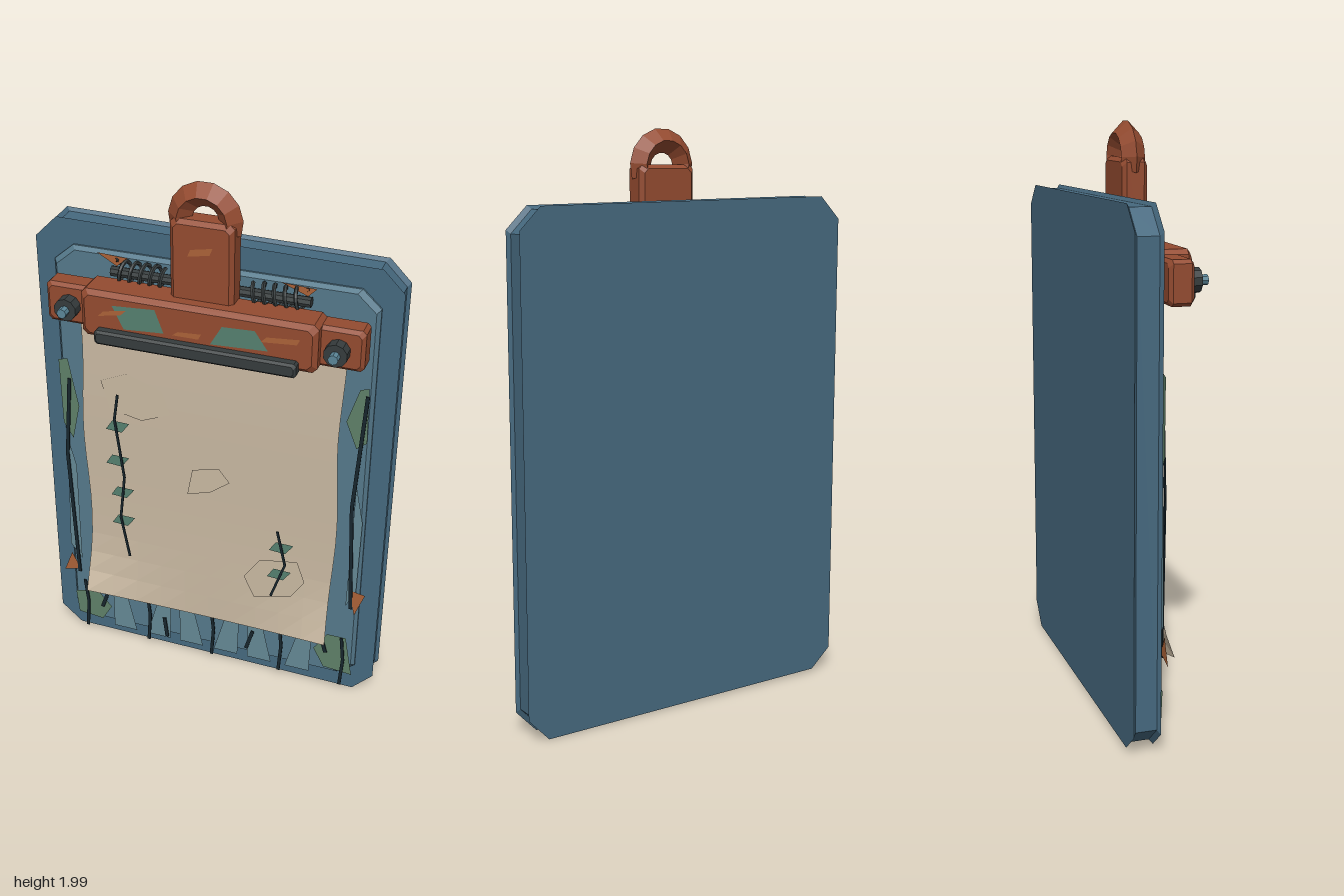
import * as THREE from 'three';

const COLOR = {
  board: 0x46697f, panel: 0x55798b, paper: 0xc9b9a2, rust: 0x944b30, orange: 0xab6238,
  dark: 0x363c3d, ink: 0x17252c, teal: 0x55806f, green: 0x5f8068, slate: 0x658894, pin: 0x5b8698,
};

function add(group, name, geometry, color, x = 0, y = 0, z = 0, doubleSide = false) {
  const material = new THREE.MeshStandardMaterial({
    color, flatShading: true, side: doubleSide ? THREE.DoubleSide : THREE.FrontSide,
  });
  const mesh = new THREE.Mesh(geometry, material);
  mesh.name = name;
  mesh.position.set(x, y, z);
  group.add(mesh);
  return mesh;
}

// Solid lofted from a counter-clockwise outline through [inset, z] rings, back to front
function loft(outline, cy, rings) {
  const n = outline.length, pos = [], idx = [];
  for (const [inset, z] of rings)
    for (const [x, y] of outline) pos.push(x - Math.sign(x) * inset, y - Math.sign(y - cy) * inset, z);
  for (let r = 0; r < rings.length - 1; r++)
    for (let i = 0; i < n; i++) {
      const a = r * n + i, b = r * n + (i + 1) % n;
      idx.push(a, b, b + n, a, b + n, a + n);
    }
  const last = (rings.length - 1) * n;
  for (let i = 1; i < n - 1; i++) idx.push(0, i + 1, i, last, last + i, last + i + 1);
  const g = new THREE.BufferGeometry();
  g.setAttribute('position', new THREE.Float32BufferAttribute(pos, 3));
  g.setIndex(idx);
  g.computeVertexNormals();
  return g;
}

// Box with chamfered edges, given by its extents
function chamferBox(group, name, color, [x0, x1], [y0, y1], [z0, z1], c) {
  const w = (x1 - x0) / 2, h = (y1 - y0) / 2;
  const outline = [[-w + c, -h], [w - c, -h], [w, -h + c], [w, h - c], [w - c, h], [-w + c, h], [-w, h - c], [-w, -h + c]];
  const g = loft(outline, 0, [[c, z0], [0, z0 + c], [0, z1 - c], [c, z1]]);
  return add(group, name, g, color, (x0 + x1) / 2, (y0 + y1) / 2, 0);
}

// Thin flat polygon facing the front
function flat(group, name, color, z, points) {
  const shape = new THREE.Shape(points.map(([x, y]) => new THREE.Vector2(x, y)));
  return add(group, name, new THREE.ShapeGeometry(shape), color, 0, 0, z, true);
}

// Thin stroke along a polyline
function stroke(group, name, z, points, width = 0.009) {
  for (let i = 0; i < points.length - 1; i++) {
    const [ax, ay] = points[i], [bx, by] = points[i + 1];
    const g = new THREE.BoxGeometry(width, Math.hypot(bx - ax, by - ay) + 0.004, 0.004);
    add(group, name, g, COLOR.ink, (ax + bx) / 2, (ay + by) / 2, z).rotation.z = Math.atan2(ax - bx, by - ay);
  }
}

function section(parent, name) {
  const g = new THREE.Group();
  g.name = name;
  parent.add(g);
  return g;
}

export function createModel() {
  const model = new THREE.Group();
  model.name = 'clipboard';

  // Backing board with flared rims and a raised front panel
  add(model, 'board', loft([[-0.56, 0.02], [0.56, 0.01], [0.635, 0.09], [0.635, 1.68], [0.56, 1.755],
    [-0.56, 1.77], [-0.64, 1.69], [-0.64, 0.09]], 0.89,
  [[0, -0.153], [0.012, -0.143], [0.012, -0.072], [0, -0.062]]), COLOR.board);
  add(model, 'panel', loft([[-0.5, 0.08], [0.5, 0.08], [0.565, 0.13], [0.565, 1.62], [0.5, 1.68],
    [-0.5, 1.68], [-0.57, 1.62], [-0.57, 0.14]], 0.88,
  [[0, -0.065], [0, -0.055], [0.012, -0.04]]), COLOR.panel);

  // Paper sheet with wavy sides and curled lower corners
  const sheet = new THREE.PlaneGeometry(0.94, 1.22, 10, 14);
  const p = sheet.attributes.position;
  for (let i = 0; i < p.count; i++) {
    const u = p.getX(i) / 0.47, y = p.getY(i) + 0.87;
    const curl = Math.max(0, (0.52 - y) / 0.26);
    const drop = Math.max(0, 1 - (y - 0.26) / 0.2);
    p.setXYZ(i, u * (0.47 + 0.007 * Math.sin(y * 9 + u)) - 0.002,
      y + drop * (0.015 * u * u - 0.022 * (1 - u * u)),
      -0.012 + 0.05 * curl * curl * u ** 2 + 0.002 * Math.sin(y * 7));
  }
  sheet.computeVertexNormals();
  add(model, 'paper', sheet, COLOR.paper, 0, 0, 0, true);

  // Stains on the paper
  const marks = section(model, 'paperMarks');
  flat(marks, 'stain', COLOR.paper, -0.006, [[-0.4, 1.2], [-0.3, 1.245], [-0.17, 1.2], [-0.14, 1.11], [-0.25, 1.065], [-0.37, 1.09]]);
  flat(marks, 'stain', COLOR.paper, -0.006, [[-0.06, 0.9], [0.04, 0.925], [0.08, 0.875], [0.01, 0.82], [-0.08, 0.79]]);
  flat(marks, 'stain', COLOR.paper, -0.001, [[0.14, 0.48], [0.2, 0.57], [0.34, 0.595], [0.37, 0.51], [0.32, 0.43], [0.18, 0.395]]);

  // Sprigs drawn over the paper
  stroke(marks, 'sprigStem', 0.025, [[-0.325, 1.17], [-0.34, 1.07], [-0.31, 0.83], [-0.33, 0.65], [-0.3, 0.48]]);
  stroke(marks, 'sprigStem', 0.025, [[0.27, 0.73], [0.302, 0.59], [0.253, 0.44]]);
  for (const [x, y] of [[-0.33, 1.04], [-0.335, 0.895], [-0.32, 0.76], [-0.32, 0.635], [0.285, 0.66], [0.28, 0.54]])
    flat(marks, 'sprigLeaf', COLOR.teal, 0.022, [[x - 0.045, y - 0.018], [x + 0.015, y - 0.022], [x + 0.045, y + 0.02], [x - 0.02, y + 0.022]]);

  // Foliage along both sides of the panel
  const border = section(model, 'border');
  flat(border, 'leftLeaf', COLOR.green, -0.03, [[-0.57, 1.24], [-0.535, 1.25], [-0.5, 1.06], [-0.53, 0.92], [-0.565, 0.98]]);
  flat(border, 'leftBlade', COLOR.slate, -0.031, [[-0.555, 0.92], [-0.525, 0.8], [-0.525, 0.37], [-0.57, 0.43]]);
  flat(border, 'rightLeaf', COLOR.green, -0.03, [[0.52, 1.33], [0.55, 1.34], [0.555, 1.13], [0.52, 1.1], [0.48, 1.2]]);
  flat(border, 'rightBlade', COLOR.slate, -0.031, [[0.53, 0.95], [0.56, 0.8], [0.555, 0.5], [0.52, 0.42]]);
  stroke(border, 'sideVine', -0.024, [[-0.53, 1.17], [-0.555, 0.85], [-0.535, 0.31]], 0.013);
  stroke(border, 'sideVine', -0.024, [[0.548, 1.31], [0.52, 0.86], [0.54, 0.42]], 0.013);
  flat(border, 'shard', COLOR.orange, -0.026, [[-0.565, 0.39], [-0.53, 0.32], [-0.6, 0.3]]);
  flat(border, 'shard', COLOR.orange, -0.026, [[0.53, 0.5], [0.59, 0.49], [0.555, 0.39]]);
  flat(border, 'shard', COLOR.orange, -0.026, [[-0.4, 1.68], [-0.29, 1.675], [-0.33, 1.64]]);
  flat(border, 'shard', COLOR.orange, -0.026, [[0.24, 1.675], [0.36, 1.67], [0.33, 1.64]]);

  // Flat stones and grass along the bottom
  flat(border, 'cornerStone', COLOR.green, -0.03, [[-0.56, 0.2], [-0.47, 0.23], [-0.41, 0.16], [-0.45, 0.09], [-0.55, 0.1]]);
  flat(border, 'cornerStone', COLOR.green, -0.03, [[0.41, 0.19], [0.46, 0.27], [0.53, 0.27], [0.56, 0.1], [0.45, 0.11]]);
  for (const [x, lean] of [[-0.35, -0.02], [-0.21, 0.02], [-0.075, -0.02], [0.065, 0.02], [0.2, -0.02], [0.35, 0.02]])
    flat(border, 'stone', COLOR.slate, -0.03, [[x - 0.05, 0.07], [x + 0.045, 0.07], [x + 0.03 + lean, 0.23], [x - 0.03 + lean, 0.22]]);
  for (const x of [-0.51, -0.25, 0.01, 0.28, 0.52])
    stroke(border, 'grassBlade', -0.022, [[x - 0.004, 0.27], [x + 0.006, 0.17], [x - 0.002, 0.05]], 0.012);
  for (const [x, y, dx] of [[-0.43, 0.2, 0.015], [-0.18, 0.125, -0.005], [0.16, 0.16, 0.012], [0.445, 0.23, -0.012]])
    stroke(border, 'grassBlade', -0.022, [[x + dx, y + 0.045], [x - dx, y - 0.04]], 0.014);

  // Clip: jaw bar, end blocks, grip strip and handle plate
  const clip = section(model, 'clip');
  chamferBox(clip, 'jawBar', COLOR.rust, [-0.405, 0.405], [1.44, 1.61], [-0.012, 0.117], 0.016);
  chamferBox(clip, 'gripStrip', COLOR.dark, [-0.347, 0.347], [1.433, 1.483], [0.1, 0.15], 0.008);
  chamferBox(clip, 'handlePlate', COLOR.rust, [-0.108, 0.108], [1.56, 1.88], [-0.022, 0.065], 0.014);
  for (const s of [-1, 1]) {
    const [a, b] = s > 0 ? [0.38, 0.548] : [-0.548, -0.38];
    chamferBox(clip, 'endBlock', COLOR.rust, [a, b], [1.45, 1.595], [-0.012, 0.072], 0.012);
    add(clip, 'boltCollar', new THREE.CylinderGeometry(0.04, 0.04, 0.045, 10), COLOR.dark, s * 0.463, 1.52, 0.0905).rotation.x = Math.PI / 2;
    add(clip, 'boltPin', new THREE.CylinderGeometry(0.017, 0.017, 0.04, 8), COLOR.pin, s * 0.463, 1.52, 0.121).rotation.x = Math.PI / 2;
  }

  // Hanging loop
  const loop = add(clip, 'hangingLoop', new THREE.TorusGeometry(0.085, 0.041, 4, 9, Math.PI + 0.7), COLOR.rust, 0, 1.875, 0.02, true);
  loop.rotation.z = -0.35;

  // Spring rod and the coils either side of the handle
  add(clip, 'springRod', new THREE.CylinderGeometry(0.018, 0.018, 0.69, 8), COLOR.dark, 0, 1.625, -0.018).rotation.z = Math.PI / 2;
  for (const s of [-1, 1]) {
    const pts = [];
    for (let i = 0; i <= 60; i++) {
      const t = i / 12 * Math.PI * 2;
      pts.push(new THREE.Vector3(s * (0.15 + 0.18 * i / 60), 1.632 + 0.035 * Math.cos(t), -0.014 + 0.032 * Math.sin(t)));
    }
    add(clip, 'spring', new THREE.TubeGeometry(new THREE.CatmullRomCurve3(pts), 90, 0.007, 5), COLOR.dark);
  }

  // Worn patches on the clip
  flat(clip, 'patina', COLOR.teal, 0.119, [[-0.29, 1.57], [-0.14, 1.58], [-0.11, 1.5], [-0.25, 1.49]]);
  flat(clip, 'patina', COLOR.teal, 0.119, [[0.09, 1.56], [0.2, 1.565], [0.245, 1.5], [0.05, 1.49]]);
  flat(clip, 'scratch', COLOR.orange, 0.12, [[-0.34, 1.525], [-0.26, 1.54], [-0.24, 1.56], [-0.32, 1.545]]);
  flat(clip, 'scratch', COLOR.orange, 0.12, [[-0.08, 1.5], [0.01, 1.5], [0.02, 1.52], [-0.06, 1.515]]);
  flat(clip, 'scratch', COLOR.orange, 0.12, [[0.22, 1.53], [0.34, 1.54], [0.35, 1.56], [0.24, 1.55]]);
  flat(clip, 'scratch', COLOR.orange, 0.067, [[-0.045, 1.76], [0.03, 1.775], [0.04, 1.8], [-0.035, 1.785]]);

  return model;
}
